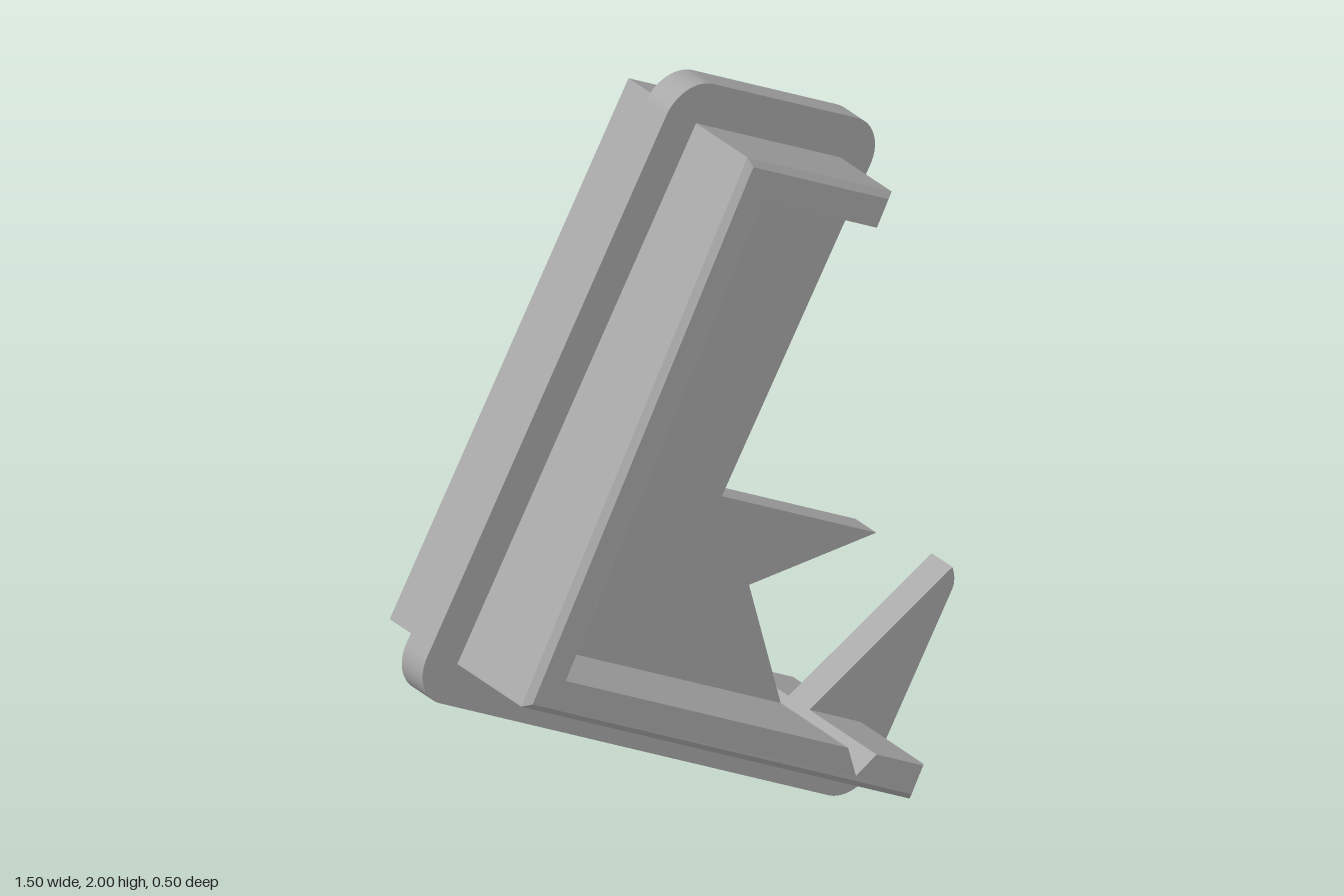
import * as THREE from 'three';

const LONG = 1.35;   // long arm, local y
const SHORT = 1.267; // bottom arm, local x
const TOP = 0.471;   // top arm, local x
const WALL = 0.085;  // wall thickness
const RIM = 0.098;   // plate margin around the wall
const CHAMFER = 0.015;

// Sharp notch that bites into both the plate and the bottom wall
const notchTip = [1.065, 0.026];

function createPlate(material) {
  const s = new THREE.Shape();
  s.moveTo(-RIM, 0);
  s.absarc(0, 0, RIM, Math.PI, Math.PI * 1.5, false);
  s.absarc(SHORT, 0, RIM, -Math.PI / 2, 0, false);
  // rounded spike at the end of the bottom arm
  s.lineTo(SHORT + RIM, 0.435);
  s.quadraticCurveTo(SHORT + RIM - 0.002, 0.46, 1.337, 0.484);
  s.lineTo(...notchTip);
  s.lineTo(0.759, 0.335);
  s.lineTo(1.067, 0.521);
  s.lineTo(TOP + RIM - 0.006, 0.521);
  s.lineTo(TOP + RIM, LONG);
  s.absarc(TOP, LONG, RIM, 0, Math.PI / 2, false);
  s.absarc(0, LONG, RIM, Math.PI / 2, Math.PI, false);
  s.closePath();
  const g = new THREE.ExtrudeGeometry(s, { depth: 0.077, bevelEnabled: false, curveSegments: 16 });
  g.translate(0, 0, -0.077);
  const mesh = new THREE.Mesh(g, material);
  mesh.name = 'flangePlate';
  return mesh;
}

function createWall(material) {
  const outline = [
    [0, 0], [SHORT, 0], [SHORT, WALL], [1.1, WALL], notchTip, [1.007, WALL],
    [WALL, WALL], [WALL, LONG - WALL], [TOP, LONG - WALL], [TOP, LONG], [0, LONG],
  ];
  const shape = new THREE.Shape(outline.map(([x, y]) => new THREE.Vector2(x, y)));
  const g = new THREE.ExtrudeGeometry(shape, { depth: 1, steps: 2, bevelEnabled: false });
  const p = g.attributes.position;
  const near = (a, b) => Math.abs(a - b) < 1e-4;
  // Sloping front edge with a small chamfer on the outer sides and arm ends
  for (let i = 0; i < p.count; i++) {
    let x = p.getX(i), y = p.getY(i);
    const layer = p.getZ(i);
    const front = 0.252 - 0.047 * (y / LONG);
    let z = -0.25;
    if (layer > 0.75) {
      z = front;
      if (near(x, 0)) x += CHAMFER;
      else if (near(x, SHORT) || near(x, TOP)) x -= CHAMFER;
      if (near(y, 0)) y += CHAMFER;
      else if (near(y, LONG)) y -= CHAMFER;
    } else if (layer > 0.25) {
      z = front - CHAMFER;
    }
    p.setXYZ(i, x, y, z);
  }
  g.computeVertexNormals();
  const mesh = new THREE.Mesh(g, material);
  mesh.name = 'bracketWall';
  return mesh;
}

export function createModel() {
  const grey = new THREE.MeshStandardMaterial({ color: 0xa8a8a8 });
  grey.name = 'grey';
  // Tilted frame: local x runs along the bottom arm, local y along the long arm
  const bracket = new THREE.Group();
  bracket.name = 'tiltedBracket';
  bracket.add(createPlate(grey), createWall(grey));
  bracket.rotation.z = -Math.PI / 6;
  bracket.position.set(-0.655, 0.733, 0);
  const model = new THREE.Group();
  model.name = 'notchedBracket';
  model.add(bracket);
  return model;
}
